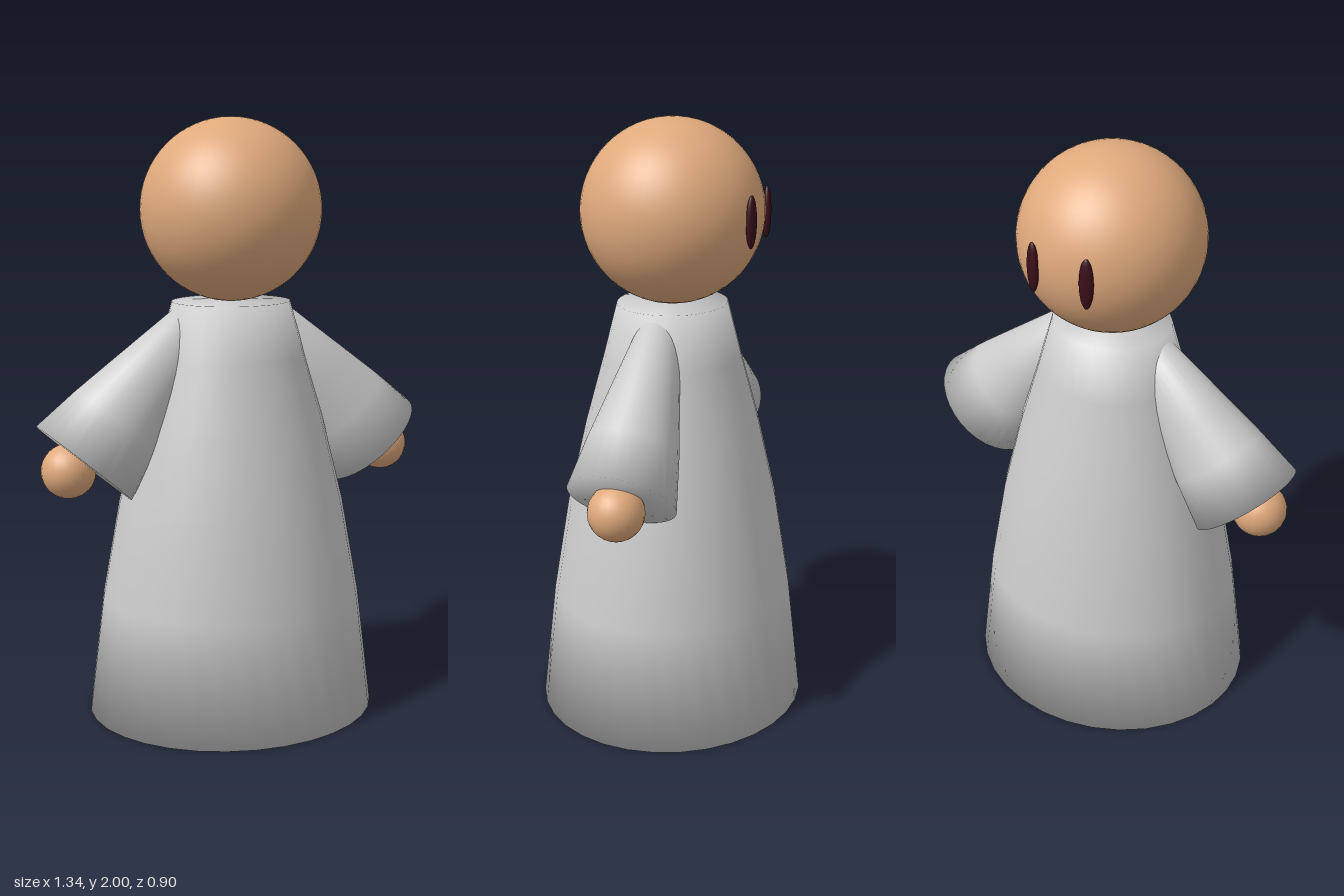
import * as THREE from 'three';

const cloth = new THREE.MeshStandardMaterial({ color: 0xcccccc });
const skin = new THREE.MeshStandardMaterial({ color: 0xdfa97c });
const eyeDark = new THREE.MeshStandardMaterial({ color: 0x3a0f18 });

function add(parent, name, geometry, material, x, y, z) {
  const mesh = new THREE.Mesh(geometry, material);
  mesh.name = name;
  mesh.position.set(x, y, z);
  parent.add(mesh);
  return mesh;
}

// Closed, smooth turned shape with an oval cross-section
function ovalLathe(profile, depth) {
  const points = profile.map(([r, y]) => new THREE.Vector2(r, y));
  return new THREE.LatheGeometry(points, 32).scale(1, 1, depth);
}

export function createModel() {
  const model = new THREE.Group();
  model.name = 'robedFigure';

  // Flared robe, closed at hem and neck
  const robe = ovalLathe([
    [0, 0], [0.493, 0], [0.443, 0.4], [0.385, 0.72], [0.315, 1.0], [0.25, 1.22], [0.2, 1.4], [0, 1.4],
  ], 0.91);
  add(model, 'robe', robe, cloth, 0, 0, 0);

  // Round head resting on the neck opening
  add(model, 'head', new THREE.SphereGeometry(0.3, 48, 32), skin, 0, 1.7, 0);

  // Wide sleeve, tapering up from the cuff to the shoulder
  const sleeve = ovalLathe([
    [0, 0], [0.2, 0], [0.17, 0.17], [0.134, 0.335], [0.08, 0.58], [0, 0.6],
  ], 0.86);
  const hand = new THREE.SphereGeometry(0.09, 24, 16);
  const eye = new THREE.SphereGeometry(1, 20, 14).scale(0.023, 0.085, 0.015);

  for (const [side, label] of [[1, 'left'], [-1, 'right']]) {
    add(model, label + 'Sleeve', sleeve, cloth, side * 0.52, 0.89, 0).rotation.z = side * 0.714;
    add(model, label + 'Hand', hand, skin, side * 0.572, 0.87, 0);
    // Narrow upright eyes, turned to follow the head
    add(model, label + 'Eye', eye, eyeDark, side * 0.097, 1.695, -0.288).rotation.y = -side * 0.3;
  }
  return model;
}
